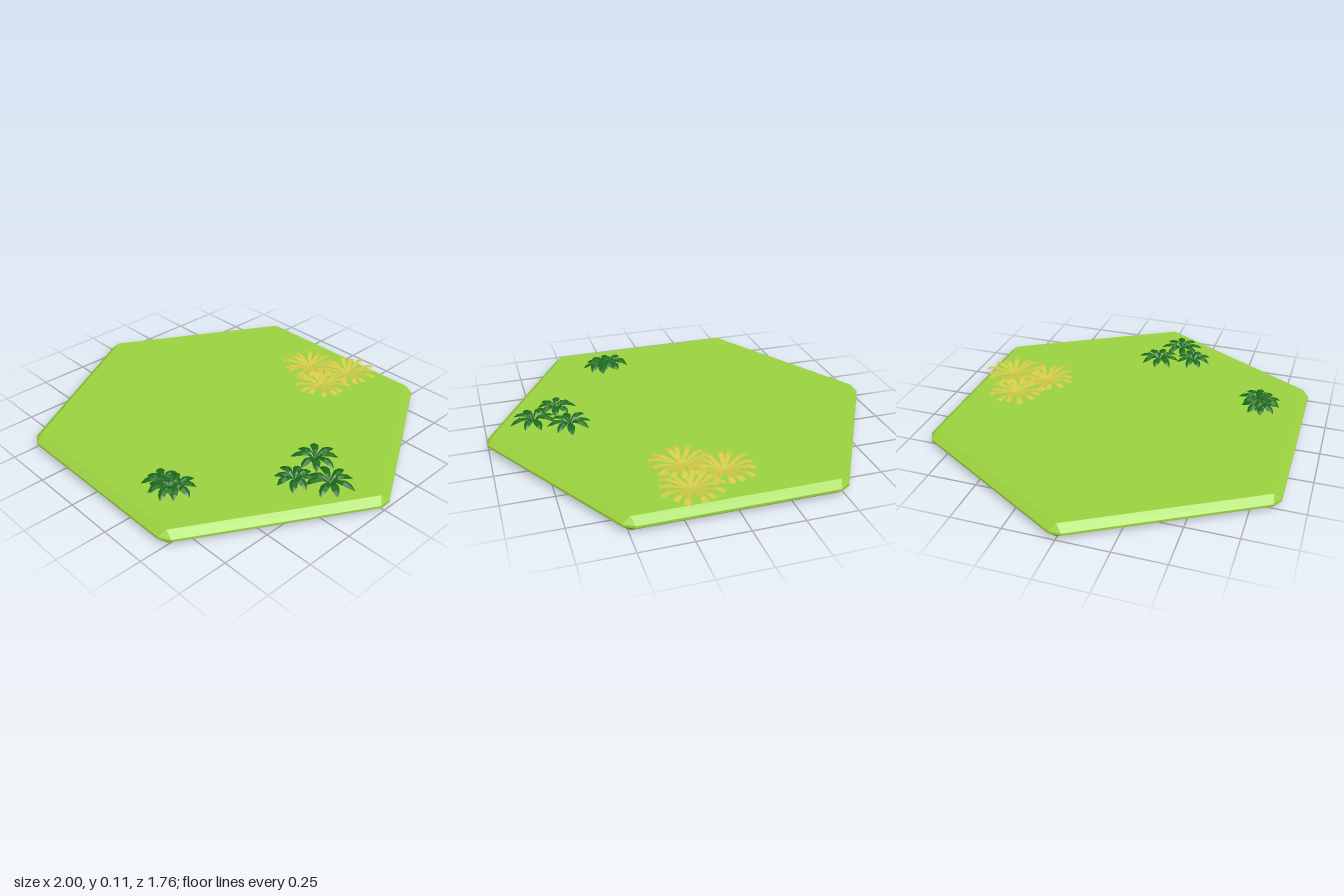
import * as THREE from 'three';
import { mergeGeometries } from 'three/addons/utils/BufferGeometryUtils.js';

// Skin equal-length cross-sections with quads, dropping empty triangles.
function skin(loops, closed) {
  const pos = [], n = loops[0].length;
  const tri = (a, b, c) => {
    const e = new THREE.Vector3().subVectors(b, a).cross(new THREE.Vector3().subVectors(c, a));
    if (e.length() > 1e-9) for (const p of [a, b, c]) pos.push(p.x, p.y, p.z);
  };
  for (let i = 0; i < loops.length - 1; i++) {
    for (let j = 0; j < (closed ? n : n - 1); j++) {
      const k = (j + 1) % n, A = loops[i], B = loops[i + 1];
      tri(A[j], B[j], B[k]);
      tri(A[j], B[k], A[k]);
    }
  }
  const g = new THREE.BufferGeometry();
  g.setAttribute('position', new THREE.Float32BufferAttribute(pos, 3));
  g.computeVertexNormals();
  return g;
}

// Hexagon ring: two points per corner, spread apart where the corner is chamfered.
function hexRing(radius, y, spread) {
  const ring = [];
  for (let i = 0; i < 6; i++) {
    const a = (i * Math.PI) / 3;
    for (const s of [1, -1]) {
      const t = s * spread;
      ring.push(new THREE.Vector3(
        Math.cos(a) * radius + Math.sin(a) * t, y, -Math.sin(a) * radius + Math.cos(a) * t));
    }
  }
  return ring;
}

// One leaf along +x; stations are [distance, height, half width, fold height].
function leaf(stations, angle, scale, lift) {
  const loops = stations.map(([r, y, w, fold]) => [
    new THREE.Vector3(r * scale, y * lift, w),
    new THREE.Vector3(r * scale, y * lift + fold, 0),
    new THREE.Vector3(r * scale, y * lift, -w),
  ]);
  return skin(loops, false).rotateY(angle);
}

// A rosette of leaves; small regular variations keep it natural.
function plant(name, stations, count, [x, z, size, turn], material) {
  const leaves = [];
  for (let i = 0; i < count; i++) {
    const angle = turn + (i / count) * Math.PI * 2 + 0.06 * Math.sin(i * 2.3 + turn);
    leaves.push(leaf(stations, angle, size * (1 + 0.06 * Math.sin(i * 4.1 + turn * 3)),
      1 + 0.15 * Math.sin(i * 2.7 + turn)));
  }
  const mesh = new THREE.Mesh(mergeGeometries(leaves), material);
  mesh.name = name;
  mesh.position.set(x, 0.07, z);
  return mesh;
}

export function createModel() {
  const model = new THREE.Group();
  model.name = 'hexTile';
  const mat = (color) => new THREE.MeshStandardMaterial({
    color, flatShading: true, side: THREE.DoubleSide });
  const ground = mat(0x9ad13e), green = mat(0x1a6b1a), yellow = mat(0xd8c84a);

  // Ground slab with bevelled rim and chamfered corners
  const centre = (y) => hexRing(0, y, 0);
  const slab = new THREE.Mesh(skin([
    centre(0), hexRing(0.975, 0, 0), hexRing(1, 0.03, 0.03),
    hexRing(1, 0.042, 0.03), hexRing(0.975, 0.072, 0), centre(0.072),
  ].map((ring) => ring.reverse()), true), ground);
  slab.name = 'groundSlab';
  model.add(slab);

  // Dry grass tufts: flat strips widening outwards
  const strip = [[0.005, 0.004, 0.003, 0], [0.06, 0.014, 0.01, 0],
    [0.11, 0.024, 0.012, 0], [0.15, 0.018, 0.015, 0]];
  const dryGrass = new THREE.Group();
  dryGrass.name = 'dryGrass';
  for (const p of [[-0.01, -0.62, 0.97, 0.1], [0.18, -0.72, 1, 0.3], [0.165, -0.52, 0.97, 0.55]]) {
    dryGrass.add(plant('dryTuft', strip, 14, p, yellow));
  }
  model.add(dryGrass);

  // Leafy plants: folded pointed leaves that arch over
  const blade = [[0.004, 0.003, 0.004, 0.002], [0.035, 0.024, 0.013, 0.008],
    [0.065, 0.028, 0.02, 0.009], [0.095, 0.02, 0.016, 0.007], [0.12, 0.007, 0.001, 0]];
  const patches = {
    sidePlants: [[0.59, 0.01, 0.95, 0], [0.76, 0.1, 0.98, 0.25], [0.63, 0.2, 0.83, 0.6]],
    frontPlants: [[0.23, 0.655, 0.78, 0.2], [0.3, 0.635, 0.83, 0], [0.275, 0.665, 0.78, 0.5]],
  };
  for (const [name, list] of Object.entries(patches)) {
    const patch = new THREE.Group();
    patch.name = name;
    for (const p of list) patch.add(plant('leafyPlant', blade, 8, p, green));
    model.add(patch);
  }
  return model;
}
